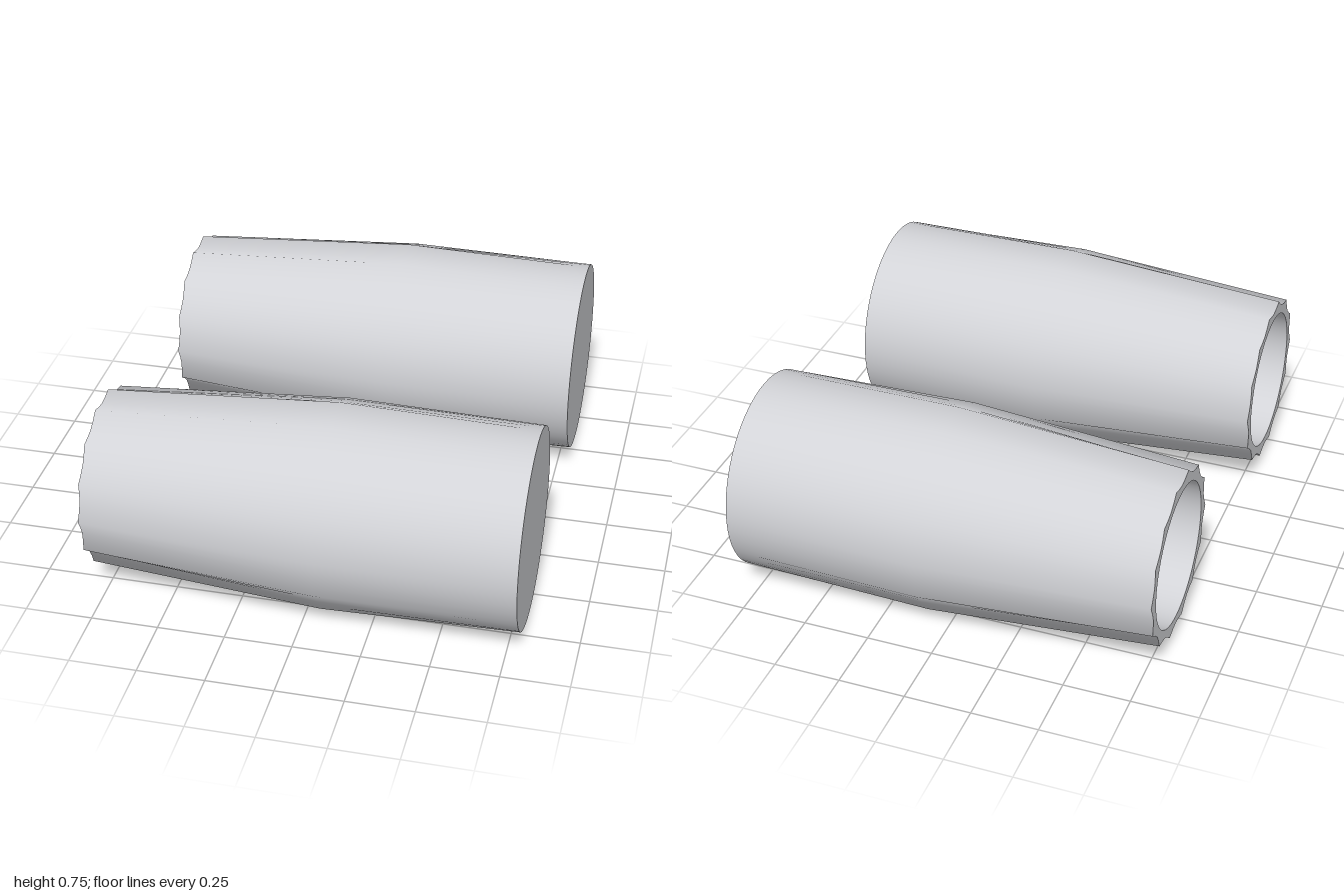
import * as THREE from 'three';

const FLUTES = 14;
const SIDES = FLUTES * 4;

// Ring stations along x: radii at ridges and grooves, and the x lean of the normals
const OUTER = [
  { x: -0.795, ridge: 0.327, groove: 0.303, lean: -0.07 },
  { x: 0.07, ridge: 0.385, groove: 0.372, lean: -0.03 },
  { x: 0.795, ridge: 0.37, groove: 0.37, lean: 0.01 },
];
const BORE_RADIUS = 0.27;
const BORE_END = 0.75;
const BORE = [
  { x: -0.795, ridge: BORE_RADIUS, groove: BORE_RADIUS, lean: 0 },
  { x: BORE_END, ridge: BORE_RADIUS, groove: BORE_RADIUS, lean: 0 },
];

const angle = (i) => (i / SIDES) * Math.PI * 2;

// Point i of a ring: sharp ridges with round grooves between, a ridge on the z axis
function ringPoint(ring, i) {
  const a = angle(i);
  const depth = Math.abs(Math.sin((a * FLUTES) / 2));
  const r = ring.ridge + (ring.groove - ring.ridge) * depth;
  return [ring.x, r * Math.sin(a), r * Math.cos(a)];
}

// Skin through rings, with radial normals so the flutes blend softly
function loft(rings, inward = false) {
  const pos = [];
  const normals = [];
  const index = [];
  const sign = inward ? -1 : 1;
  for (const ring of rings) {
    for (let i = 0; i < SIDES; i++) {
      const a = angle(i);
      pos.push(...ringPoint(ring, i));
      normals.push(sign * ring.lean, sign * Math.sin(a), sign * Math.cos(a));
    }
  }
  for (let k = 0; k < rings.length - 1; k++) {
    for (let i = 0; i < SIDES; i++) {
      const a = k * SIDES + i;
      const b = k * SIDES + ((i + 1) % SIDES);
      const c = a + SIDES;
      const d = b + SIDES;
      if (inward) index.push(a, b, c, b, d, c);
      else index.push(a, c, b, b, c, d);
    }
  }
  const g = new THREE.BufferGeometry();
  g.setAttribute('position', new THREE.Float32BufferAttribute(pos, 3));
  g.setAttribute('normal', new THREE.Float32BufferAttribute(normals, 3));
  g.setIndex(index);
  g.normalizeNormals();
  return g;
}

// Flat scalloped rim around the bore, facing -x
function rimGeometry() {
  const outline = [];
  const hole = [];
  for (let i = 0; i < SIDES; i++) {
    const o = ringPoint(OUTER[0], i);
    const h = ringPoint(BORE[0], i);
    outline.push(new THREE.Vector2(o[2], o[1]));
    hole.push(new THREE.Vector2(h[2], h[1]));
  }
  const shape = new THREE.Shape(outline);
  shape.holes.push(new THREE.Path(hole));
  return new THREE.ShapeGeometry(shape).rotateY(-Math.PI / 2).translate(OUTER[0].x, 0, 0);
}

// Flat disc across the x axis; dir is the side it faces
function discGeometry(radius, x, dir) {
  return new THREE.CircleGeometry(radius, SIDES).rotateY((dir * Math.PI) / 2).translate(x, 0, 0);
}

export function createModel() {
  const model = new THREE.Group();
  model.name = 'flutedTubes';
  const metal = new THREE.MeshStandardMaterial({ color: 0xd2d3d7 });
  metal.name = 'light grey';

  const parts = {
    flutedBody: loft(OUTER),
    bore: loft(BORE, true),
    scallopedRim: rimGeometry(),
    endCap: discGeometry(0.37, 0.795, 1),
    boreFloor: discGeometry(BORE_RADIUS, BORE_END, -1),
  };

  // Two matching tubes side by side
  for (const [name, z] of [['frontTube', 0.615], ['backTube', -0.615]]) {
    const tube = new THREE.Group();
    tube.name = name;
    for (const [part, geometry] of Object.entries(parts)) {
      const mesh = new THREE.Mesh(geometry, metal);
      mesh.name = part;
      tube.add(mesh);
    }
    tube.position.set(0, 0.38, z);
    model.add(tube);
  }
  return model;
}
